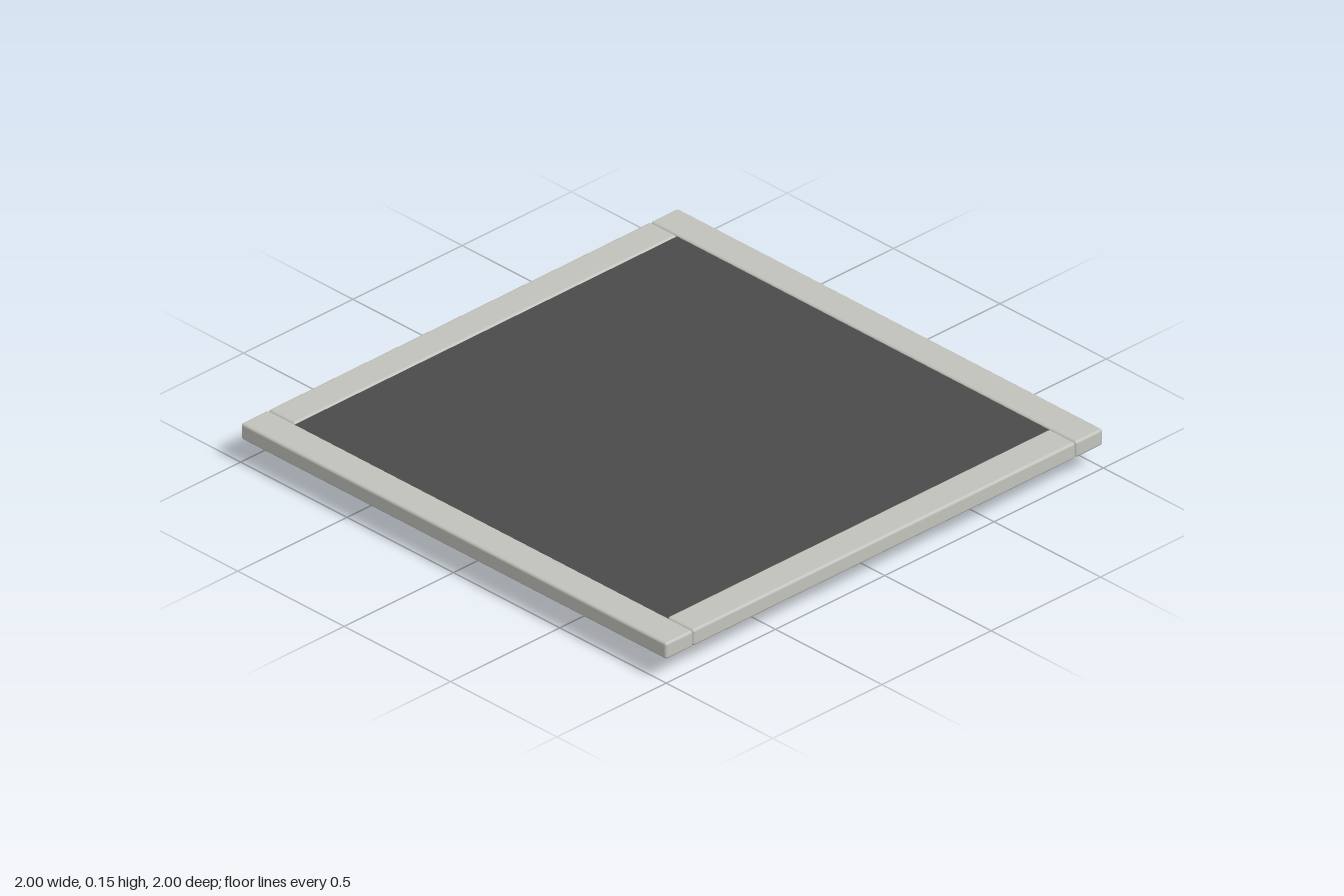
import * as THREE from 'three';
import { RoundedBoxGeometry } from 'three/addons/geometries/RoundedBoxGeometry.js';

export function createModel() {
  const model = new THREE.Group();
  model.name = 'ceilingVent';

  const paleGrey = new THREE.MeshStandardMaterial({ color: 0xc2c2bc });
  paleGrey.name = 'paleGrey';
  const darkGrey = new THREE.MeshStandardMaterial({ color: 0x4a4a4a });
  darkGrey.name = 'darkGrey';

  // Box between two heights, with softened edges when a bevel is given
  function addBar(parent, name, w, d, y0, y1, x, z, bevel, material = paleGrey) {
    const h = y1 - y0;
    const geometry = bevel
      ? new RoundedBoxGeometry(w, h, d, 2, bevel)
      : new THREE.BoxGeometry(w, h, d);
    const mesh = new THREE.Mesh(geometry, material);
    mesh.name = name;
    mesh.position.set(x, (y0 + y1) / 2, z);
    parent.add(mesh);
  }

  // Square ring: front and back bars run full width, side bars fit between them
  function addRing(name, half, thick, y0, y1, bevel) {
    const ring = new THREE.Group();
    ring.name = name;
    const mid = half - thick / 2;
    for (const s of [-1, 1]) {
      addBar(ring, s > 0 ? 'frontBar' : 'backBar', half * 2, thick, y0, y1, 0, s * mid, bevel);
      addBar(ring, s > 0 ? 'leftBar' : 'rightBar', thick, (half - thick) * 2, y0, y1, s * mid, 0, bevel);
    }
    model.add(ring);
  }

  // Outer frame
  addRing('outerFrame', 1, 0.125, 0.09, 0.152, 0.01);

  // Dark backing panel, slightly recessed in the frame
  addBar(model, 'backingPanel', 1.75, 1.75, 0.135, 0.147, 0, 0, 0, darkGrey);

  // Concentric louvres below the panel
  [0.752, 0.567, 0.382, 0.2].forEach((half, i) => {
    addRing(`louvre${i + 1}`, half, 0.045, 0.038, 0.137, 0.004);
  });

  // Centre block
  addBar(model, 'centreBlock', 0.166, 0.166, 0.003, 0.137, 0, 0, 0.01);

  return model;
}
